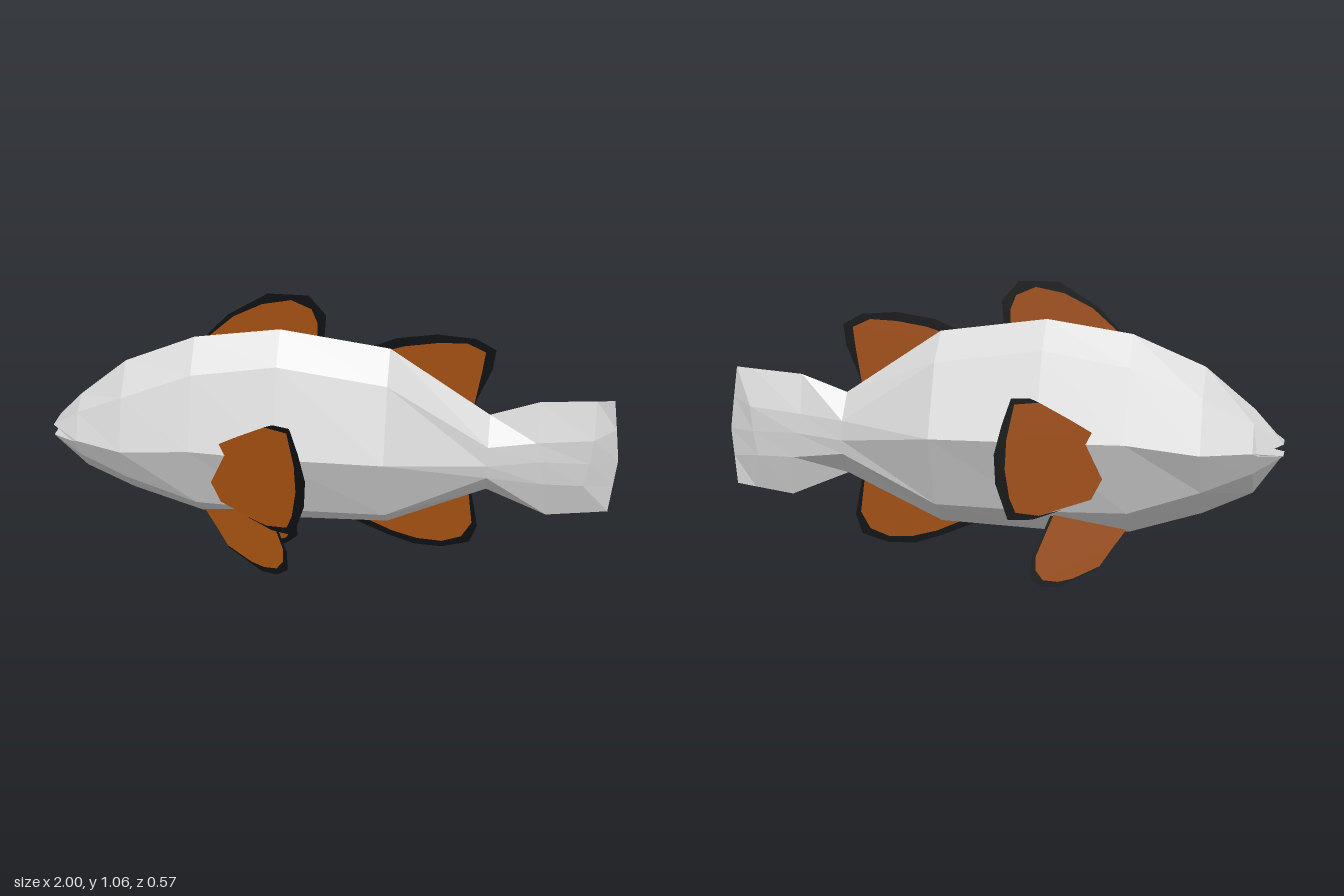
import * as THREE from 'three';

const skin = new THREE.MeshStandardMaterial({ name: 'pale grey skin', color: 0xd4d4d4, flatShading: true });
const finOrange = new THREE.MeshStandardMaterial({ name: 'burnt orange fin', color: 0xa04e10, flatShading: true, side: THREE.DoubleSide });
const finBlack = new THREE.MeshStandardMaterial({ name: 'black fin edge', color: 0x0c0d0f, flatShading: true, side: THREE.DoubleSide });

// Sections from nose to tail: x (one or five), then y of top, shoulder, side, belly ridge, bottom,
// then half widths of shoulder, side, belly ridge.
const SECTIONS = [
  [-0.915, [0.497, 0.497, 0.497, 0.495, 0.495], [0.05, 0.1, 0.05]],                       // throat
  [[-1, -1, -0.915, -1, -1], [0.53, 0.53, 0.497, 0.49, 0.49], [0.045, 0.1, 0.045]],       // lips
  [-0.9, [0.64, 0.6, 0.505, 0.43, 0.35], [0.07, 0.11, 0.07]],
  [-0.73, [0.78, 0.68, 0.5, 0.36, 0.27], [0.1, 0.165, 0.09]],
  [-0.48, [0.885, 0.78, 0.53, 0.275, 0.19], [0.095, 0.185, 0.092]],
  [-0.18, [0.93, 0.83, 0.53, 0.268, 0.182], [0.095, 0.203, 0.095]],
  [0.2, [0.88, 0.78, 0.525, 0.275, 0.195], [0.095, 0.19, 0.095]],
  [0.55, [0.65, 0.555, 0.485, 0.435, 0.355], [0.066, 0.073, 0.066]],
  [[0.72, 0.715, 0.73, 0.745, 0.765], [0.71, 0.57, 0.5, 0.41, 0.265], [0.04, 0.046, 0.04]],
  [[0.91, 0.91, 0.9, 0.885, 0.91], [0.725, 0.59, 0.5, 0.41, 0.285], [0.035, 0.037, 0.035]],
  [[0.97, 0.985, 1, 0.99, 0.98], [0.73, 0.62, 0.5, 0.4, 0.295], [0, 0, 0]],
];

function bodyGeometry() {
  const pos = [], index = [], n = 8;
  for (const [x, y, [zs, zm, zl]] of SECTIONS) {
    const z = [0, zs, zm, zl, 0, -zl, -zm, -zs];
    for (let j = 0; j < n; j++) {
      const k = j <= 4 ? j : n - j;
      pos.push(Array.isArray(x) ? x[k] : x, y[k], z[j]);
    }
  }
  for (let i = 0; i < SECTIONS.length - 1; i++) {
    for (let j = 0; j < n; j++) {
      const a = i * n + j, d = i * n + (j + 1) % n;
      index.push(a, d, d + n, a, d + n, a + n);
    }
  }
  const g = new THREE.BufferGeometry();
  g.setAttribute('position', new THREE.Float32BufferAttribute(pos, 3));
  g.setIndex(index);
  g.computeVertexNormals();
  return g;
}

// A flat sheet cut to an outline and tilted by depth(x, y)
function sheet(name, points, material, depth) {
  const g = new THREE.ShapeGeometry(new THREE.Shape(points.map(([x, y]) => new THREE.Vector2(x, y))));
  const p = g.attributes.position;
  for (let i = 0; i < p.count; i++) p.setZ(i, depth(p.getX(i), p.getY(i)));
  g.computeVertexNormals();
  const m = new THREE.Mesh(g, material);
  m.name = name;
  return m;
}

// Fin: orange web inside (root + inner edge) and a black band between inner and outer edge
function fin(name, { root, inner, outer, depth = () => 0 }) {
  const group = new THREE.Group();
  group.name = name;
  group.add(sheet(name + 'Web', [...inner, ...root], finOrange, depth));
  group.add(sheet(name + 'Edge', [...outer, ...[...inner].reverse()], finBlack, depth));
  return group;
}

const frontDorsal = {
  root: [[-0.04, 0.86], [-0.43, 0.86]],
  inner: [[-0.43, 0.89], [-0.34, 0.97], [-0.24, 1.02], [-0.14, 1.04], [-0.07, 1.01], [-0.05, 0.96], [-0.05, 0.87]],
  outer: [[-0.44, 0.89], [-0.36, 0.975], [-0.22, 1.06], [-0.08, 1.06], [-0.02, 0.99], [-0.03, 0.87]],
};
const rearDorsal = {
  root: [[0.46, 0.66], [0.15, 0.84]],
  inner: [[0.15, 0.86], [0.25, 0.892], [0.36, 0.91], [0.46, 0.915], [0.525, 0.885], [0.515, 0.81], [0.49, 0.66]],
  outer: [[0.1, 0.86], [0.14, 0.885], [0.22, 0.92], [0.36, 0.942], [0.49, 0.933], [0.56, 0.895], [0.55, 0.82], [0.5, 0.7]],
};
const analFin = {
  root: [[0.49, 0.36], [0.14, 0.23]],
  inner: [[0.12, 0.2], [0.22, 0.155], [0.31, 0.13], [0.4, 0.125], [0.47, 0.15], [0.505, 0.21], [0.49, 0.33]],
  outer: [[0.06, 0.2], [0.2, 0.14], [0.3, 0.106], [0.4, 0.102], [0.5, 0.13], [0.525, 0.2], [0.5, 0.33]],
};
const pelvicFin = {
  root: [[-0.22, 0.27], [-0.42, 0.25], [-0.47, 0.2], [-0.42, 0.13]],
  inner: [[-0.38, 0.07], [-0.29, 0.028], [-0.24, 0.018], [-0.19, 0.025], [-0.165, 0.06], [-0.165, 0.11], [-0.22, 0.25]],
  outer: [[-0.38, 0.065], [-0.25, 0], [-0.19, 0], [-0.147, 0.03], [-0.15, 0.1], [-0.21, 0.25]],
  depth: (x, y) => 0.167 + 0.305 * x - 0.082 * y,
};
const pectoralFin = {
  root: [[-0.3, 0.615], [-0.37, 0.57], [-0.35, 0.53], [-0.405, 0.41], [-0.37, 0.34]],
  inner: [[-0.2, 0.288], [-0.125, 0.3], [-0.105, 0.35], [-0.09, 0.45], [-0.095, 0.55], [-0.12, 0.67], [-0.2, 0.675]],
  outer: [[-0.28, 0.308], [-0.18, 0.275], [-0.1, 0.275], [-0.06, 0.4], [-0.055, 0.5], [-0.08, 0.6], [-0.11, 0.69], [-0.17, 0.69]],
  depth: (x) => 0.285 + 0.32 * (x + 0.06),
};

export function createModel() {
  const fish = new THREE.Group();
  fish.name = 'fish';

  const body = new THREE.Mesh(bodyGeometry(), skin);
  body.name = 'bodyAndTail';
  fish.add(body);

  // Single fins on the centre line
  fish.add(fin('frontDorsalFin', frontDorsal), fin('rearDorsalFin', rearDorsal), fin('analFin', analFin));

  // Paired fins, mirrored across the centre line
  for (const [name, shape] of [['pelvicFin', pelvicFin], ['pectoralFin', pectoralFin]]) {
    for (const side of [1, -1]) {
      const depth = (x, y) => side * shape.depth(x, y);
      fish.add(fin(name + (side > 0 ? 'Near' : 'Far'), { ...shape, depth }));
    }
  }
  return fish;
}
